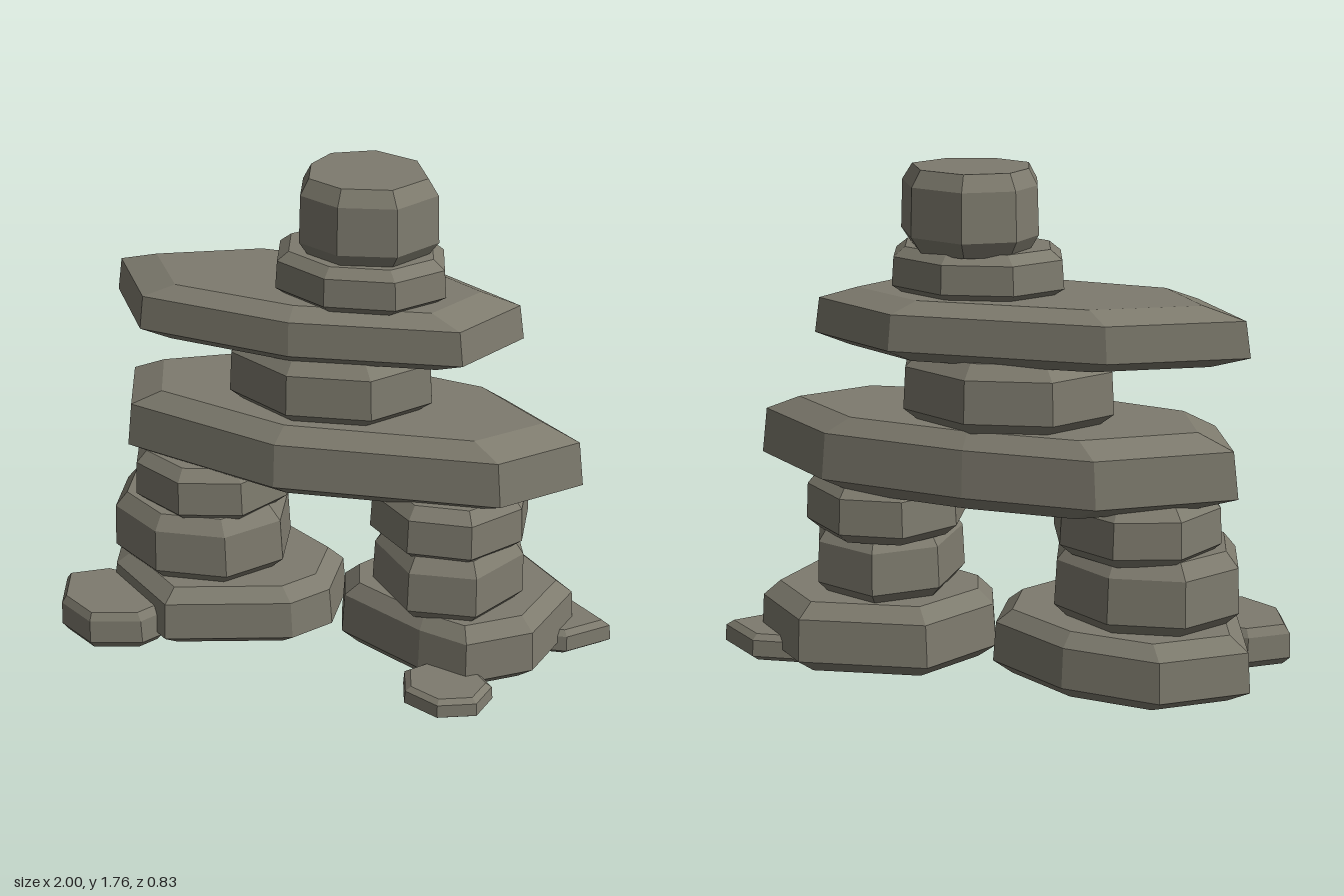
import * as THREE from 'three';

const stoneMaterial = new THREE.MeshStandardMaterial({ color: 0x7e7b6e, flatShading: true });
stoneMaterial.name = 'weatheredStone';

// Regular outline fitted to an exact box of x and z
function ring(x0, x1, z0, z1, sides, turn) {
  const pts = [];
  for (let i = 0; i < sides; i++) {
    const a = turn + (i / sides) * Math.PI * 2;
    pts.push([Math.cos(a), Math.sin(a)]);
  }
  const fit = (k, lo, hi) => {
    const v = pts.map((p) => p[k]);
    const a = Math.min(...v), b = Math.max(...v);
    pts.forEach((p) => { p[k] = lo + ((p[k] - a) / (b - a)) * (hi - lo); });
  };
  fit(0, x0, x1);
  fit(1, z0, z1);
  return pts;
}

// Stone: an outline in x, z lofted through four rings with chamfered top and bottom
function stone(name, outline, y0, y1, top = 0.84, bottom = 0.84) {
  const n = outline.length;
  const cx = outline.reduce((s, p) => s + p[0], 0) / n;
  const cz = outline.reduce((s, p) => s + p[1], 0) / n;
  const pts = [...outline].sort((a, b) =>
    Math.atan2(a[1] - cz, a[0] - cx) - Math.atan2(b[1] - cz, b[0] - cx));
  const h = y1 - y0;
  const levels = [[y0, bottom], [y0 + h * 0.2, 1], [y0 + h * 0.8, 0.975], [y1, top]];
  const pos = [];
  for (const [y, s] of levels) {
    for (const [x, z] of pts) pos.push(cx + (x - cx) * s, y, cz + (z - cz) * s);
  }
  const idx = [];
  for (let r = 0; r < 3; r++) {
    for (let i = 0; i < n; i++) {
      const a = r * n + i, b = r * n + ((i + 1) % n);
      idx.push(a, a + n, b, b, a + n, b + n);
    }
  }
  for (let i = 1; i < n - 1; i++) {
    idx.push(0, i, i + 1);
    idx.push(3 * n, 3 * n + i + 1, 3 * n + i);
  }
  const indexed = new THREE.BufferGeometry();
  indexed.setAttribute('position', new THREE.Float32BufferAttribute(pos, 3));
  indexed.setIndex(idx);
  const geo = indexed.toNonIndexed();
  geo.computeVertexNormals();
  const mesh = new THREE.Mesh(geo, stoneMaterial);
  mesh.name = name;
  return mesh;
}

export function createModel() {
  const model = new THREE.Group();
  model.name = 'stackedStones';
  const add = (...args) => model.add(stone(...args));

  // Right leg (-x)
  add('rightFootStone', [[-0.9, -0.24], [-0.62, -0.4], [-0.28, -0.36], [0.0, -0.2],
    [0.01, 0.02], [-0.1, 0.15], [-0.54, 0.29], [-0.82, 0.08]], 0, 0.24);
  add('rightShinStone', ring(-0.84, -0.18, -0.33, 0.21, 8, 0.25), 0.23, 0.5);
  add('rightThighStone', ring(-0.77, -0.18, -0.35, 0.19, 8, 0.1), 0.48, 0.69);

  // Left leg (+x)
  add('leftFootStone', [[0.02, -0.08], [0.2, -0.33], [0.65, -0.39], [0.86, -0.2],
    [0.77, 0.1], [0.56, 0.24], [0.38, 0.2], [0.06, 0.06]], 0, 0.26);
  add('leftShinStone', ring(0.17, 0.7, -0.33, 0.22, 7, 0.1), 0.25, 0.5);
  add('leftThighStone', ring(0.14, 0.69, -0.35, 0.2, 8, 0.3), 0.48, 0.69);

  // Long lintel across both legs
  add('lintelSlab', [[-0.83, -0.2], [-0.73, 0.08], [-0.14, 0.22], [0.63, 0.13],
    [0.87, -0.1], [0.56, -0.34], [0.05, -0.41], [-0.4, -0.42]], 0.66, 0.93, 0.83, 0.81);

  // Body, arms and head
  add('bodyStone', ring(-0.41, 0.34, -0.41, 0.16, 8, 0.2), 0.92, 1.16);
  add('armSlab', [[-0.85, -0.19], [-0.65, 0.1], [-0.1, 0.16], [0.47, 0.07],
    [0.62, -0.2], [0.3, -0.39], [-0.42, -0.38]], 1.15, 1.35, 0.79, 0.83);
  add('neckStone', ring(-0.23, 0.38, -0.33, 0.13, 8, 0.2), 1.34, 1.5);
  add('headStone', [[-0.14, -0.13], [-0.1, -0.27], [0.06, -0.35], [0.25, -0.28],
    [0.34, -0.1], [0.24, 0.06], [0.05, 0.1], [-0.1, 0.03]], 1.49, 1.76, 0.84, 0.85);

  // Loose pebbles around the feet
  add('rightPebble', [[-1, 0.12], [-0.86, 0.04], [-0.62, 0.06], [-0.57, 0.24],
    [-0.62, 0.31], [-0.8, 0.365], [-0.95, 0.28]], 0, 0.15, 0.88, 0.88);
  add('frontPebble', ring(0.34, 0.66, 0.16, 0.41, 7, Math.PI / 2), 0, 0.08);
  add('leftPebble', [[1, -0.21], [0.85, -0.32], [0.65, -0.3], [0.6, -0.18],
    [0.7, -0.07], [0.86, -0.09]], 0, 0.1);

  return model;
}
